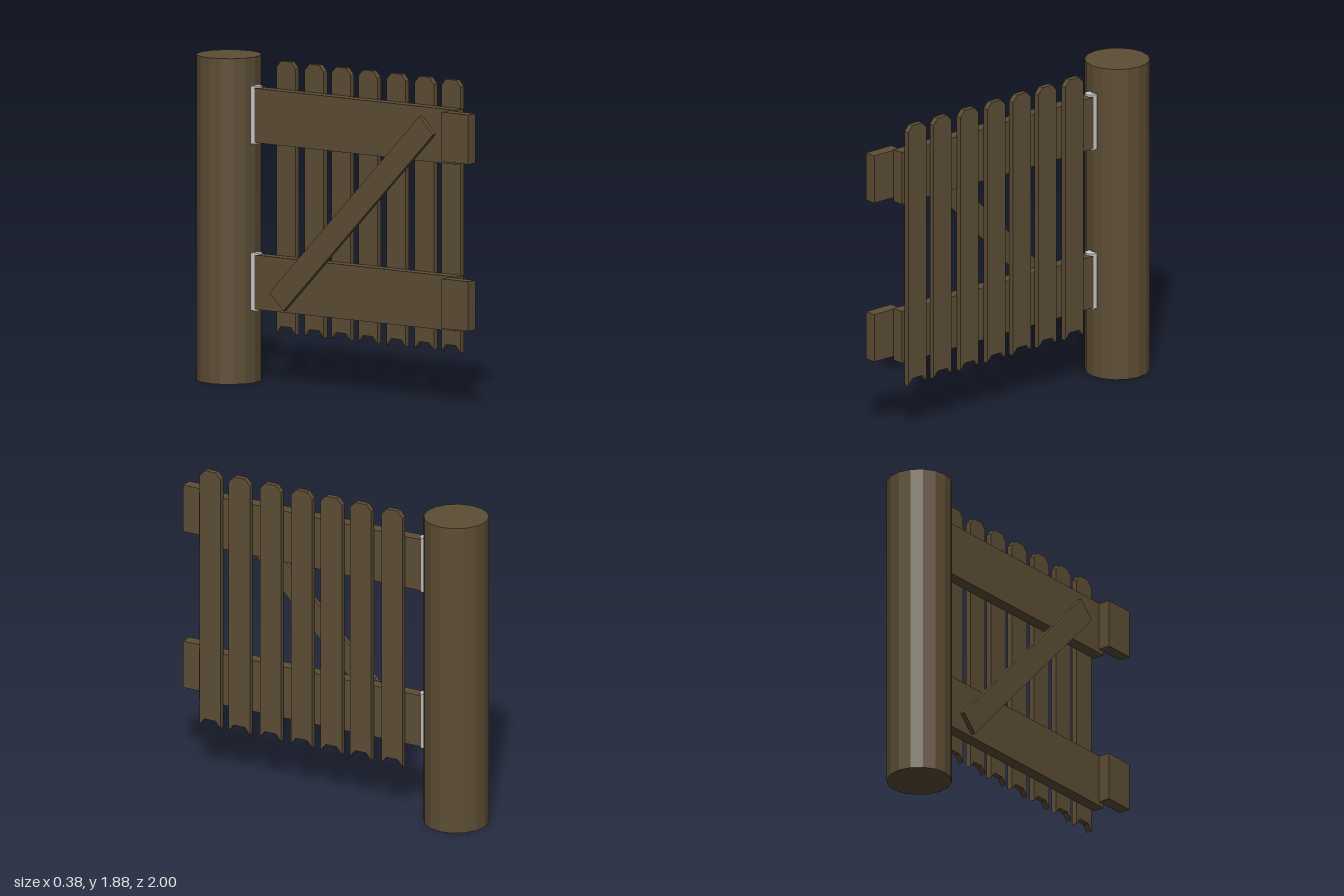
import * as THREE from 'three';

export function createModel() {
  const gate = new THREE.Group();
  gate.name = 'gate';
  const wood = new THREE.MeshStandardMaterial({ color: 0x5d4d35, flatShading: true });
  const metal = new THREE.MeshStandardMaterial({ color: 0xcccccc, flatShading: true });

  function add(name, geometry, material, x, y, z) {
    const mesh = new THREE.Mesh(geometry, material);
    mesh.name = name;
    mesh.position.set(x, y, z);
    gate.add(mesh);
    return mesh;
  }

  // Round post carrying the gate
  add('post', new THREE.CylinderGeometry(0.188, 0.188, 1.885, 16), wood, 0, 0.9425, -0.812);

  // Lower and upper rail, each with a hinge pin and a latch block
  [['lower', 0.588], ['upper', 1.553]].forEach(([level, y]) => {
    add(level + 'Rail', new THREE.BoxGeometry(0.072, 0.315, 1.455), wood, 0, y, 0.1275);
    add(level + 'Hinge', new THREE.CylinderGeometry(0.036, 0.036, 0.335, 16), metal, 0, y + 0.001, -0.615);
    add(level + 'LatchBlock', new THREE.BoxGeometry(0.072, 0.287, 0.19), wood, -0.074, y + 0.008, 0.905);
  });

  // Diagonal brace across the back of the rails
  const brace = add('brace', new THREE.BoxGeometry(0.026, 0.14, 1.555), wood, -0.049, 1.05, 0.12);
  brace.rotation.x = -0.8;

  // Pickets: chamfered top and matching notch at the bottom
  const w = 0.069, f = 0.036;
  const outline = [[-w, 0.295], [-f, 0.335], [f, 0.335], [w, 0.295], [w, 1.835], [f, 1.872], [-f, 1.872], [-w, 1.835]];
  const picketShape = new THREE.Shape(outline.map(([x, y]) => new THREE.Vector2(x, y)));
  const picketGeometry = new THREE.ExtrudeGeometry(picketShape, { depth: 0.033, bevelEnabled: false });
  picketGeometry.rotateY(Math.PI / 2);
  [0.765, 0.573, 0.369, 0.165, -0.03, -0.223, -0.428].forEach((z, i) => {
    add('picket' + (i + 1), picketGeometry, wood, 0.035, 0, z);
  });

  return gate;
}
